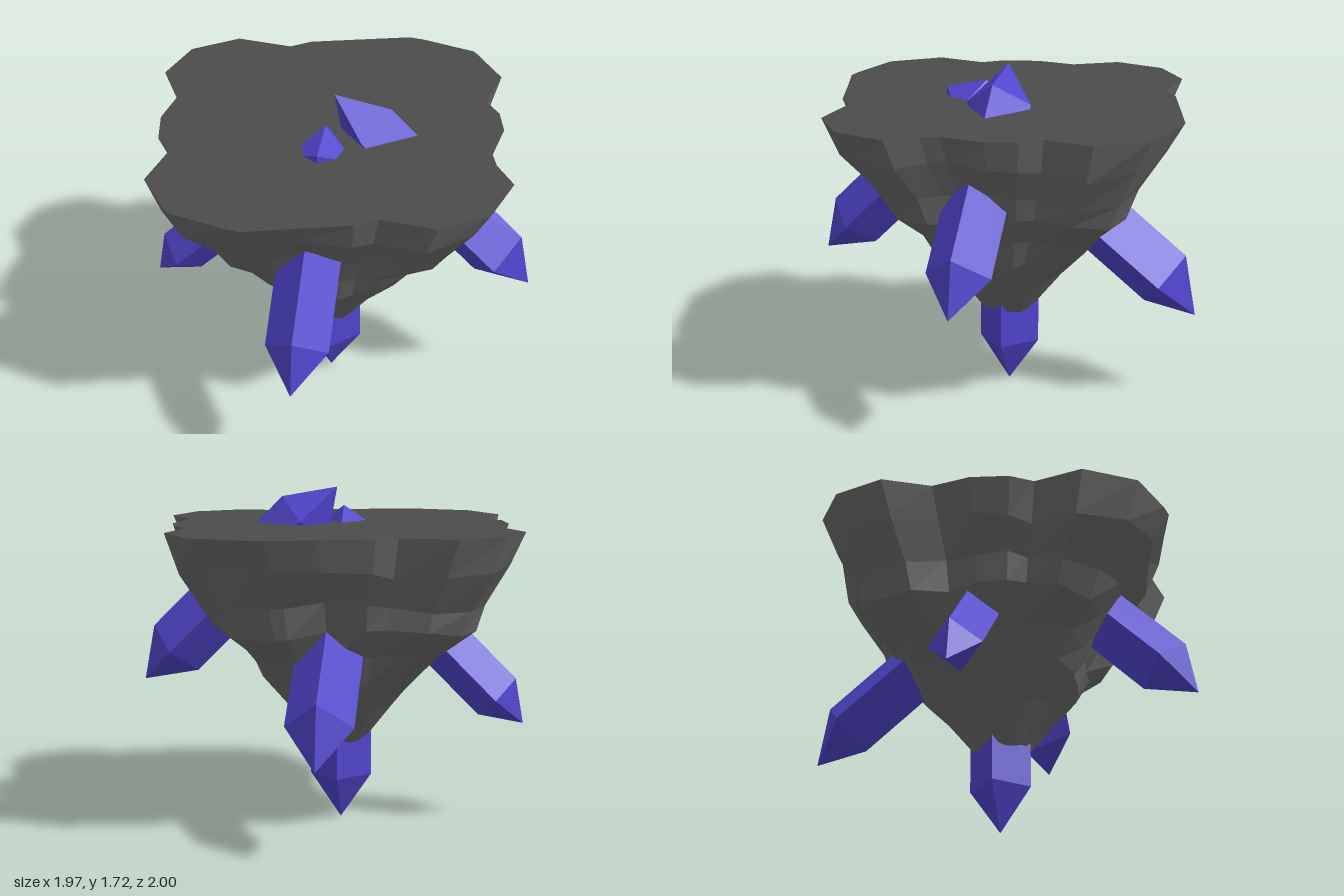
import * as THREE from 'three';

const CX = -0.045, CZ = -0.015; // vertical axis of the rock

// Top rim of the rock, as x, z corners going round from the back
const RIM = [
  [0.2, -0.96], [0.28, -0.95], [0.56, -0.875], [0.73, -0.64], [0.68, -0.39], [0.76, -0.29],
  [0.8, -0.14], [0.77, 0.085], [0.8, 0.175], [0.9, 0.32], [0.825, 0.585], [0.6, 0.745],
  [0.32, 0.715], [0.22, 0.785], [-0.045, 0.86], [-0.28, 0.93], [-0.36, 0.92], [-0.645, 0.845],
  [-0.82, 0.605], [-0.77, 0.355], [-0.85, 0.25], [-0.89, 0.06], [-0.86, -0.14], [-0.985, -0.36],
  [-0.91, -0.62], [-0.69, -0.775], [-0.405, -0.745], [-0.305, -0.815], [-0.045, -0.89],
];

// Height and scale of each ring from the rim down, steep and flat bands in turn
const RINGS = [
  [1.53, 1], [1.36, 0.92], [1.18, 0.74], [1.05, 0.65], [0.9, 0.53], [0.77, 0.45], [0.61, 0.3], [0.43, 0.15],
];

function seeded(seed) {
  return () => {
    seed = (seed * 16807) % 2147483647;
    return seed / 2147483647 - 0.5;
  };
}

function rockRings() {
  const rand = seeded(77);
  const last = RINGS.length - 1;
  return RINGS.map(([y, s], j) => RIM.map(([x, z]) => {
    const angle = Math.atan2(z - CZ, x - CX);
    const rimRadius = Math.hypot(x - CX, z - CZ);
    const sin = Math.sin(angle), cos = Math.cos(angle);
    // Lower rings grow rounder
    let r = THREE.MathUtils.lerp(rimRadius, 0.92, 0.85 * (j / last) ** 1.5) * s;
    let h = y;
    if (j > 0) {
      // At mid height the lobes and the right side swell, and the front is hollow
      const lobe = Math.abs(Math.sin(2 * angle)) * (0.08 - 0.05 * sin);
      const side = 0.05 * Math.max(0, -cos) ** 4 - 0.06 * Math.max(0, sin) ** 4;
      r += (lobe + side) * Math.exp(-(((y - 1.06) / 0.15) ** 2)) + 0.03 * s * rand();
      h += 0.03 * Math.sin(4 * angle + j) * Math.sqrt(s) + 0.03 * s * rand();
    }
    return [CX + cos * r, h, CZ + sin * r];
  }));
}

function facets(triangles) {
  const geo = new THREE.BufferGeometry();
  geo.setAttribute('position', new THREE.Float32BufferAttribute(triangles.flat(2), 3));
  geo.computeVertexNormals();
  return geo;
}

// Four-sided crystal from an outer tip to an inner tip; skew moves the outer tip off the axis
function crystal(name, material, from, to, radius, cap = 0.23, endCap = cap, skew = 0) {
  const a = new THREE.Vector3(...from), dir = new THREE.Vector3(...to).sub(a);
  const length = dir.length();
  const profile = [[0, 0], [radius, cap], [radius, length - endCap], [0, length]]
    .map(([x, y]) => new THREE.Vector2(x, y));
  const geo = new THREE.LatheGeometry(profile, 4);
  const p = geo.attributes.position;
  for (let i = 0; i < p.count; i++) if (p.getY(i) === 0) p.setZ(i, skew);
  const mesh = new THREE.Mesh(geo, material);
  mesh.name = name;
  mesh.position.copy(a);
  mesh.quaternion.setFromUnitVectors(new THREE.Vector3(0, 1, 0), dir.normalize());
  return mesh;
}

export function createModel() {
  const group = new THREE.Group();
  group.name = 'floatingCrystalRock';
  const topStone = new THREE.MeshStandardMaterial({ color: 0x4c4c4c, flatShading: true });
  const sideStone = new THREE.MeshStandardMaterial({ color: 0x6a6a6a, flatShading: true });
  const gem = new THREE.MeshStandardMaterial({ color: 0x5044cc, flatShading: true });

  // Flat top, banded sides and a small closed foot
  const rings = rockRings();
  const top = [], sides = [];
  const last = rings.length - 1;
  RIM.forEach((_, i) => {
    const k = (i + 1) % RIM.length;
    top.push([[CX, 1.53, CZ], rings[0][k], rings[0][i]]);
    for (let j = 0; j < last; j++) {
      const a = rings[j][i], b = rings[j][k], c = rings[j + 1][k], d = rings[j + 1][i];
      sides.push([a, b, c], [a, c, d]);
    }
    sides.push([[CX, 0.45, CZ], rings[last][i], rings[last][k]]);
  });
  const rockTop = new THREE.Mesh(facets(top), topStone);
  rockTop.name = 'rockTop';
  const rockSides = new THREE.Mesh(facets(sides), sideStone);
  rockSides.name = 'rockSides';
  group.add(rockTop, rockSides);

  // The left and back crystals run right through and poke out of the top
  group.add(
    crystal('bottomCrystal', gem, [CX, 0, CZ], [CX, 1.1, CZ], 0.157),
    crystal('frontCrystal', gem, [CX, 0.64, 1], [CX, 1.3, 0.34], 0.156),
    crystal('rightCrystal', gem, [-0.98, 0.52, CZ], [-0.12, 1.38, CZ], 0.135, 0.19),
    crystal('leftCrystal', gem, [0.985, 0.705, CZ], [-0.025, 1.715, CZ], 0.163, 0.235),
    crystal('backCrystal', gem, [CX, 0.495, -1.025], [CX, 1.57, 0.32], 0.167, 0.24, 0.14, 0.043),
  );
  return group;
}
